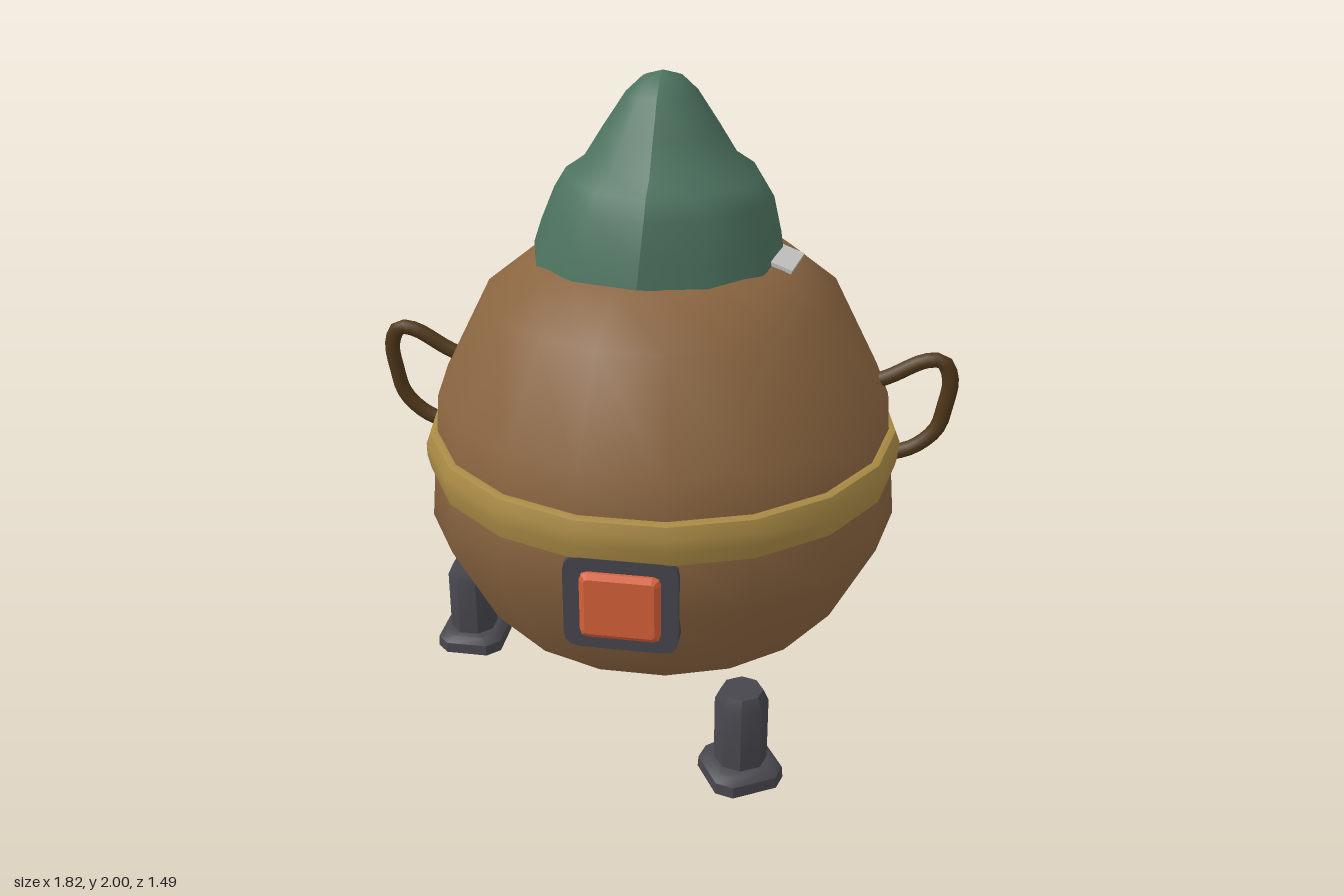
import * as THREE from 'three';
import { toCreasedNormals } from 'three/addons/utils/BufferGeometryUtils.js';

const mat = (name, color, side = THREE.FrontSide) => {
  const m = new THREE.MeshStandardMaterial({ color, side });
  m.name = name;
  return m;
};

// Lathe from [radius, y] pairs, listed bottom to top
function lathe(points, sides, start = 0) {
  const g = new THREE.LatheGeometry(points.map(p => new THREE.Vector2(...p)), sides, start);
  return g;
}

// Loft of chamfered squares: each ring is [halfWidth, flatHalfLength, y]
function loft(rings) {
  const pos = [], index = [];
  for (const [a, b, y] of rings) {
    for (const [x, z] of [[a, b], [b, a], [-b, a], [-a, b], [-a, -b], [-b, -a], [b, -a], [a, -b]]) pos.push(x, y, z);
  }
  for (let r = 0; r < rings.length - 1; r++) {
    for (let i = 0; i < 8; i++) {
      const p = r * 8 + i, n = r * 8 + (i + 1) % 8;
      index.push(p, p + 8, n, n, p + 8, n + 8);
    }
  }
  const g = new THREE.BufferGeometry();
  g.setAttribute('position', new THREE.Float32BufferAttribute(pos, 3));
  g.setIndex(index);
  return toCreasedNormals(g, 0.6);
}

// Rectangle with rounded corners
function roundedRect(path, w, h, r) {
  path.moveTo(-w + r, -h);
  path.lineTo(w - r, -h);
  path.quadraticCurveTo(w, -h, w, -h + r);
  path.lineTo(w, h - r);
  path.quadraticCurveTo(w, h, w - r, h);
  path.lineTo(-w + r, h);
  path.quadraticCurveTo(-w, h, -w, h - r);
  path.lineTo(-w, -h + r);
  path.quadraticCurveTo(-w, -h, -w + r, -h);
  return path;
}

export function createModel() {
  const model = new THREE.Group();
  const brown = mat('brown', 0x8a6540);
  const green = mat('green', 0x4c725f, THREE.DoubleSide);
  const gold = mat('gold', 0xa98a45);
  const dark = mat('dark iron', 0x47464d);
  const wood = mat('dark brown', 0x4f3719);
  const orange = mat('orange', 0xd8613a);
  const grey = mat('light grey', 0xc4c4c2);

  const add = (name, geometry, material, parent = model) => {
    const mesh = new THREE.Mesh(geometry, material);
    mesh.name = name;
    parent.add(mesh);
    return mesh;
  };

  // Pot-shaped body, 18 sides with a corner on the x axis
  add('body', lathe([[0.57, 0.31], [0.6, 0.345], [0.74, 0.62], [0.725, 0.79], [0.712, 0.9], [0.702, 1.03],
    [0.55, 1.33], [0.4, 1.45], [0.25, 1.49], [0, 1.51]], 18, Math.PI / 2), brown);
  add('bodyBottom', lathe([[0, 0.293], [0.57, 0.31]], 18, Math.PI / 2), brown);

  // Belt around the body
  add('belt', toCreasedNormals(lathe([[0.68, 0.785], [0.737, 0.785], [0.747, 0.83], [0.747, 0.87],
    [0.733, 0.905], [0.715, 0.912], [0.68, 0.9]], 18, Math.PI / 2), 0.75), gold);

  // Pointed cap with an uneven rim, dented on the +x side
  const cap = lathe([[0.39, 1.455], [0.37, 1.53], [0.332, 1.64], [0.295, 1.7], [0.237, 1.74],
    [0.18, 1.83], [0.11, 1.935], [0.06, 1.982], [0, 2]], 12);
  const p = cap.attributes.position;
  for (let i = 0; i < p.count; i++) {
    const low = Math.max(0, (1.64 - p.getY(i)) / 0.185);
    const x = p.getX(i), z = p.getZ(i);
    p.setX(i, x - 0.012 * low - (x > 0.36 ? 0.012 * low : 0));
    p.setZ(i, z - 0.008 * low);
    p.setY(i, p.getY(i) + low * 0.008 * Math.cos(4 * Math.atan2(x, z) + 0.8));
  }
  cap.computeVertexNormals();
  add('cap', cap, green);

  // Small pale chip under the cap rim
  const chip = add('chip', new THREE.BoxGeometry(0.07, 0.012, 0.14), grey);
  chip.position.set(0.38, 1.464, 0.05);
  chip.rotation.set(0.08, -0.18, -0.3);

  // Side handles
  const bend = [[0.64, 1.06], [0.7, 1.085], [0.81, 1.145], [0.86, 1.145], [0.886, 1.09], [0.876, 1.0],
    [0.855, 0.92], [0.79, 0.855], [0.7, 0.82]];
  for (const s of [1, -1]) {
    const curve = new THREE.CatmullRomCurve3(bend.map(([x, y]) => new THREE.Vector3(s * x, y, -0.005)), false, 'centripetal');
    add(s > 0 ? 'leftHandle' : 'rightHandle', new THREE.TubeGeometry(curve, 24, 0.025, 8), wood);
  }

  // Three stubby feet with hollow soles
  for (let i = 0; i < 3; i++) {
    const angle = Math.PI + i * Math.PI * 2 / 3;
    const foot = add('foot', loft([[0, 0, 0.03], [0.075, 0.04, 0.03], [0.085, 0.045, 0], [0.11, 0.07, 0], [0.108, 0.068, 0.035],
      [0.09, 0.05, 0.055], [0.073, 0.032, 0.06], [0.073, 0.032, 0.265], [0.058, 0.025, 0.3], [0, 0, 0.3]]), dark);
    foot.position.set(0.665 * Math.cos(angle), 0, -0.665 * Math.sin(angle));
    foot.rotation.y = angle;
  }

  // Furnace window on the front
  const hatch = new THREE.Group();
  hatch.name = 'hatch';
  hatch.position.set(0, 0.647, 0);
  model.add(hatch);
  const frameShape = roundedRect(new THREE.Shape(), 0.165, 0.145, 0.045);
  frameShape.holes.push(roundedRect(new THREE.Path(), 0.112, 0.1, 0.01));
  const frame = add('hatchFrame', new THREE.ExtrudeGeometry(frameShape, {
    depth: 0.05, bevelEnabled: false, curveSegments: 3 }), dark, hatch);
  frame.position.z = 0.679;
  const pane = add('hatchPane', new THREE.ExtrudeGeometry(roundedRect(new THREE.Shape(), 0.1, 0.088, 0.01), {
    depth: 0.02, bevelThickness: 0.012, bevelSize: 0.016, bevelSegments: 1, curveSegments: 2 }), orange, hatch);
  pane.position.z = 0.718;

  return model;
}
